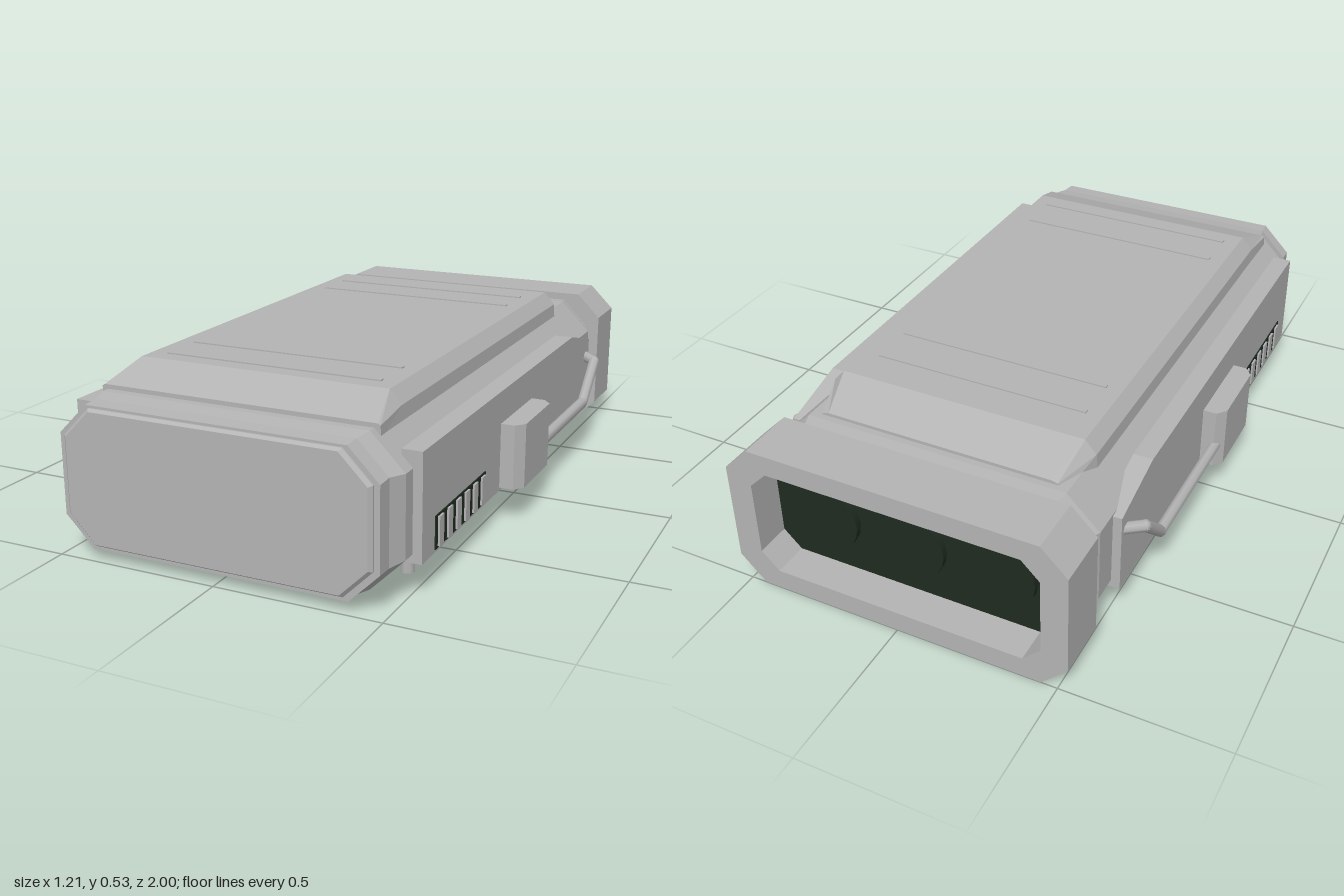
import * as THREE from 'three';

const hull = new THREE.MeshStandardMaterial({ color: 0xb4b4b4 });
hull.name = 'hullGrey';
const dark = new THREE.MeshStandardMaterial({ color: 0x1f2b20 });
dark.name = 'darkGreen';

// Octagon corners, counter-clockwise seen from +z
function octagon(hw, y0, y1, c) {
  return [[-hw + c, y0], [hw - c, y0], [hw, y0 + c], [hw, y1 - c],
    [hw - c, y1], [-hw + c, y1], [-hw, y1 - c], [-hw, y0 + c]];
}

// Closed, flat-faced skin through cross-sections listed from front to back
function loft(sections) {
  const pos = [];
  const rings = sections.map(([z, pts]) => pts.map(([x, y]) => [x, y, z]));
  const n = rings[0].length;
  const tri = (a, b, c) => pos.push(...a, ...b, ...c);
  for (let i = 0; i + 1 < rings.length; i++) {
    for (let j = 0; j < n; j++) {
      const k = (j + 1) % n;
      const a = rings[i][j], b = rings[i][k], c = rings[i + 1][k], d = rings[i + 1][j];
      tri(a, d, c);
      tri(a, c, b);
    }
  }
  const first = rings[0], last = rings[rings.length - 1];
  for (let j = 1; j + 1 < n; j++) {
    tri(first[0], first[j], first[j + 1]);
    tri(last[0], last[j + 1], last[j]);
  }
  const g = new THREE.BufferGeometry();
  g.setAttribute('position', new THREE.Float32BufferAttribute(pos, 3));
  g.computeVertexNormals();
  return g;
}

const toShape = (pts) => new THREE.Shape(pts.map(([x, y]) => new THREE.Vector2(x, y)));
const extrude = (shape, depth) => new THREE.ExtrudeGeometry(shape, { depth, bevelEnabled: false });

function add(parent, name, geometry, material, x = 0, y = 0, z = 0) {
  const mesh = new THREE.Mesh(geometry, material);
  mesh.name = name;
  mesh.position.set(x, y, z);
  parent.add(mesh);
  return mesh;
}

// Straight rod between two points
function rod(parent, name, from, to, radius) {
  const a = new THREE.Vector3(...from), b = new THREE.Vector3(...to);
  const dir = b.clone().sub(a);
  const mesh = add(parent, name, new THREE.CylinderGeometry(radius, radius, dir.length(), 8), hull);
  mesh.position.copy(a.add(b).multiplyScalar(0.5));
  mesh.quaternion.setFromUnitVectors(new THREE.Vector3(0, 1, 0), dir.normalize());
}

function createSide(s) {
  const side = new THREE.Group();
  side.name = s > 0 ? 'leftSide' : 'rightSide';

  // Side armour plate, drawn in (-z, y) and turned to face sideways
  const plate = extrude(toShape([[-0.84, 0.1], [0.675, 0.1], [0.675, 0.355], [0.46, 0.41], [-0.84, 0.41]]), 0.06);
  plate.rotateY(Math.PI / 2);
  add(side, 'sidePlate', plate, hull, s > 0 ? 0.477 : -0.537);

  // Equipment box with bevelled outer edges, drawn in (x, -z)
  const outline = [[0.52, -0.25], [0.58, -0.25], [0.605, -0.22], [0.605, 0.005], [0.58, 0.035], [0.52, 0.035]];
  const mirrored = outline.map(([x, y]) => [x * s, y]);
  const box = extrude(toShape(mirrored), 0.2);
  box.rotateX(-Math.PI / 2);
  add(side, 'equipmentBox', box, hull, 0, 0.11, 0);

  // Vent panel with upright slats
  add(side, 'ventPanel', new THREE.BoxGeometry(0.008, 0.096, 0.375), dark, s * 0.536, 0.157, 0.567);
  for (let i = 0; i < 6; i++) {
    add(side, 'ventSlat', new THREE.BoxGeometry(0.012, 0.085, 0.03), hull, s * 0.54, 0.157, 0.405 + i * 0.064);
  }

  // Pipe running back from the box, up and into the plate
  const path = [[0.578, 0.18, 0], [0.578, 0.18, -0.48], [0.578, 0.295, -0.605], [0.525, 0.3, -0.65]]
    .map(([x, y, z]) => [x * s, y, z]);
  for (let i = 0; i < 3; i++) {
    rod(side, 'pipe', path[i], path[i + 1], 0.018);
    if (i > 0) add(side, 'pipeElbow', new THREE.SphereGeometry(0.018, 8, 6), hull, ...path[i]);
  }

  // Pegs below the plate
  for (let i = 0; i < 5; i++) {
    add(side, 'peg', new THREE.CylinderGeometry(0.021, 0.021, 0.065, 8), hull, s * 0.467, 0.075, 0.77 - i * 0.301);
  }
  return side;
}

export function createModel() {
  const model = new THREE.Group();
  model.name = 'hullModule';

  // Main body with stepped nose and narrowed tail
  add(model, 'body', loft([
    [0.985, octagon(0.485, 0.03, 0.452, 0.09)],
    [0.935, octagon(0.487, 0.03, 0.455, 0.09)],
    [0.885, octagon(0.51, 0.025, 0.462, 0.1)],
    [-0.76, octagon(0.51, 0.025, 0.462, 0.1)],
    [-0.81, octagon(0.485, 0.03, 0.455, 0.09)],
    [-0.84, octagon(0.485, 0.03, 0.455, 0.09)],
  ]), hull);
  add(model, 'noseCap', loft([
    [1, octagon(0.458, 0.05, 0.438, 0.082)],
    [0.99, octagon(0.468, 0.043, 0.445, 0.085)],
    [0.97, octagon(0.468, 0.043, 0.445, 0.085)],
  ]), hull);

  // Raised roof with sloped ends and sides
  const roof = (bottom, mid, top, height) => [[-bottom, 0.43], [bottom, 0.43], [mid, Math.min(0.485, height - 0.005)],
    [top, height], [-top, height], [-mid, Math.min(0.485, height - 0.005)]];
  add(model, 'roof', loft([
    [0.86, roof(0.43, 0.428, 0.42, 0.475)],
    [0.72, roof(0.43, 0.425, 0.39, 0.525)],
    [-0.6, roof(0.43, 0.425, 0.39, 0.525)],
    [-0.74, roof(0.39, 0.375, 0.355, 0.472)],
  ]), hull);
  for (const z of [0.66, 0.52, -0.34, -0.48]) {
    add(model, 'roofRib', new THREE.BoxGeometry(0.68, 0.008, 0.016), hull, 0, 0.525, z);
  }

  // Rear collar with a recessed opening
  const collar = toShape(octagon(0.53, 0, 0.48, 0.08));
  collar.holes.push(new THREE.Path(octagon(0.45, 0.065, 0.415, 0.055).reverse().map(([x, y]) => new THREE.Vector2(x, y))));
  add(model, 'rearCollar', extrude(collar, 0.18), hull, 0, 0, -1);
  add(model, 'collarFront', extrude(toShape(octagon(0.52, 0.01, 0.47, 0.08)), 0.02), hull, 0, 0, -0.845);
  add(model, 'rearPanel', new THREE.BoxGeometry(0.92, 0.37, 0.02), dark, 0, 0.24, -0.88);
  for (const x of [-0.28, 0, 0.28]) {
    const nozzle = add(model, 'nozzle', new THREE.CylinderGeometry(0.11, 0.11, 0.03, 20), dark, x, 0.24, -0.895);
    nozzle.rotation.x = Math.PI / 2;
  }

  model.add(createSide(1), createSide(-1));
  return model;
}
